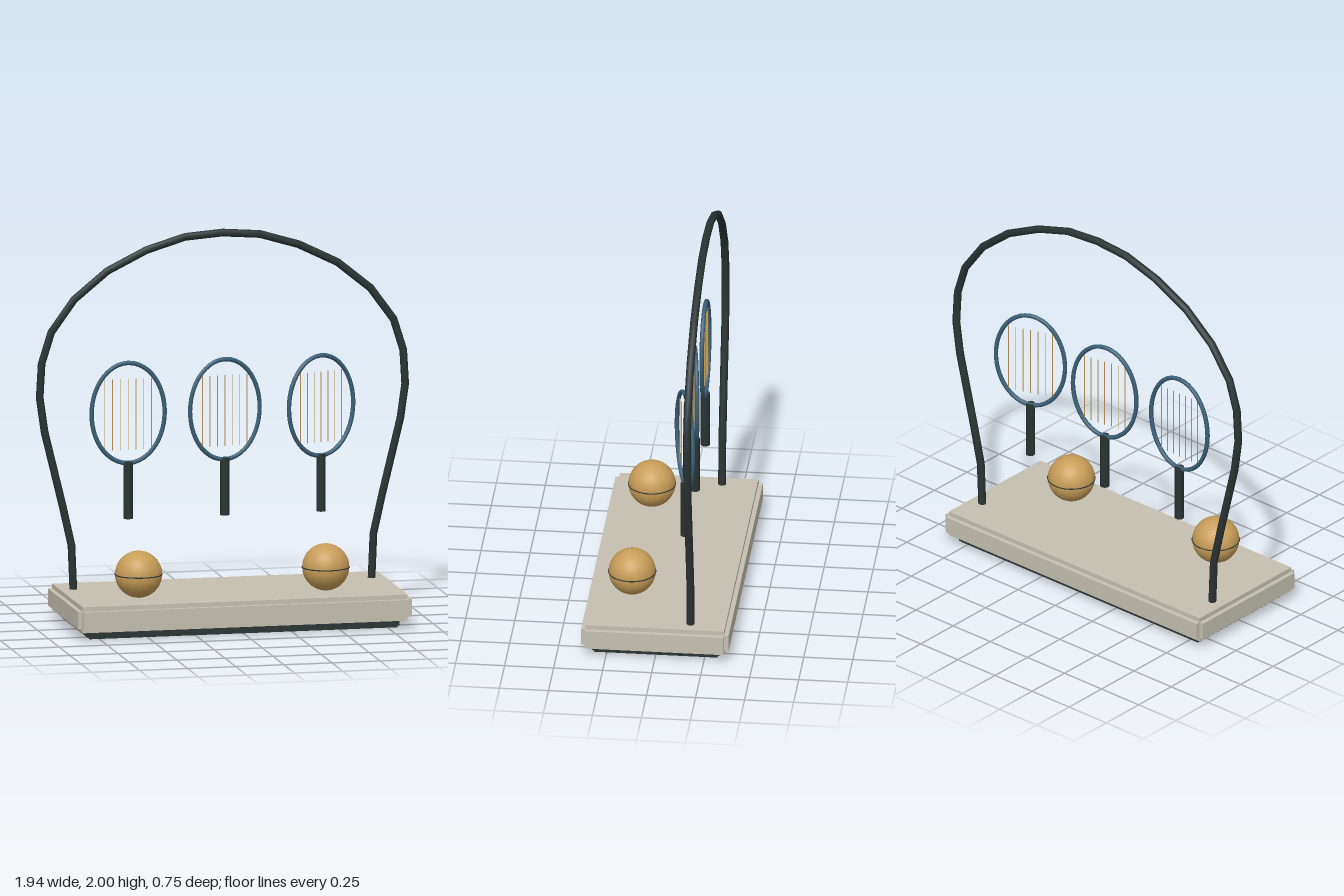
import * as THREE from 'three';

const mat = (name, color) => new THREE.MeshStandardMaterial({ name, color });

// Curve through points with straight runs, one tube ring per point
class PolyCurve extends THREE.Curve {
  constructor(points) {
    super();
    this.points = points;
  }
  getUtoTmapping(u) {
    return u;
  }
  getPoint(t, target = new THREE.Vector3()) {
    const last = this.points.length - 1;
    const f = THREE.MathUtils.clamp(t, 0, 1) * last;
    const i = Math.min(Math.floor(f), last - 1);
    return target.lerpVectors(this.points[i], this.points[i + 1], f - i);
  }
}

class EllipseLoop extends THREE.Curve {
  constructor(rx, ry) {
    super();
    this.rx = rx;
    this.ry = ry;
  }
  getPoint(t, target = new THREE.Vector3()) {
    const a = t * Math.PI * 2;
    return target.set(this.rx * Math.cos(a), this.ry * Math.sin(a), 0);
  }
}

export function createModel() {
  const model = new THREE.Group();
  model.name = 'racketStand';

  const stone = mat('stone', 0xc4bfb0);
  const darkMetal = mat('darkMetal', 0x2b3333);
  const blueFrame = mat('blueFrame', 0x3a6078);
  const tan = mat('tan', 0xc89d58);

  const add = (parent, name, geometry, material, x = 0, y = 0, z = 0) => {
    const mesh = new THREE.Mesh(geometry, material);
    mesh.name = name;
    mesh.position.set(x, y, z);
    parent.add(mesh);
    return mesh;
  };

  // Slab with notched edges: three crossing boxes, each inset on two axes
  const slab = (name, w, h, d, notch, y, material) => {
    const group = new THREE.Group();
    group.name = name;
    group.position.y = y;
    const n = 2 * notch;
    add(group, name + 'Wide', new THREE.BoxGeometry(w, h - n, d - n), material);
    add(group, name + 'Tall', new THREE.BoxGeometry(w - n, h, d - n), material);
    add(group, name + 'Deep', new THREE.BoxGeometry(w - n, h - n, d), material);
    model.add(group);
  };
  slab('foot', 1.62, 0.06, 0.65, 0.01, 0.03, darkMetal);
  slab('base', 1.736, 0.134, 0.752, 0.023, 0.106, stone);

  // Arch: left half of the path, mirrored over the top
  const half = [
    [0.775, 0.165], [0.785, 0.4], [0.83, 0.6], [0.925, 0.99], [0.95, 1.165], [0.94, 1.34],
    [0.89, 1.5], [0.77, 1.665], [0.598, 1.805], [0.395, 1.905], [0.195, 1.965],
  ];
  const archPoints = [
    ...half.map(([x, y]) => new THREE.Vector3(-x, y, 0)),
    new THREE.Vector3(0, 1.98, 0),
    ...half.slice().reverse().map(([x, y]) => new THREE.Vector3(x, y, 0)),
  ];
  const archCurve = new PolyCurve(archPoints);
  add(model, 'arch', new THREE.TubeGeometry(archCurve, archPoints.length - 1, 0.02, 8), darkMetal, 0, 0, -0.175);

  // Rackets, each turned a little further
  const hoopGeo = new THREE.TubeGeometry(new EllipseLoop(0.19, 0.258), 48, 0.0115, 8, true);
  const gripGeo = new THREE.CylinderGeometry(0.024, 0.024, 0.295, 10);
  const stringGeo = new THREE.BoxGeometry(0.003, 0.365, 0.004);
  [-0.503, 0, 0.5].forEach((x, i) => {
    const racket = new THREE.Group();
    racket.name = 'racket' + (i + 1);
    racket.position.set(x, 1.08, -0.118);
    racket.rotation.y = i * 0.16;
    add(racket, 'hoop', hoopGeo, blueFrame);
    add(racket, 'grip', gripGeo, darkMetal, 0, -0.3965, 0);
    for (let s = -3; s <= 3; s++) add(racket, 'string', stringGeo, tan, s * 0.0405, -0.007, 0);
    model.add(racket);
  });

  // Balls with a thin seam around the middle
  const ballGeo = new THREE.SphereGeometry(0.12, 32, 20);
  const seamGeo = new THREE.TorusGeometry(0.12, 0.003, 6, 40);
  for (const x of [-0.51, 0.463]) {
    add(model, 'ball', ballGeo, tan, x, 0.297, 0.155);
    add(model, 'ballSeam', seamGeo, darkMetal, x, 0.297, 0.155).rotation.x = Math.PI / 2;
  }

  return model;
}
